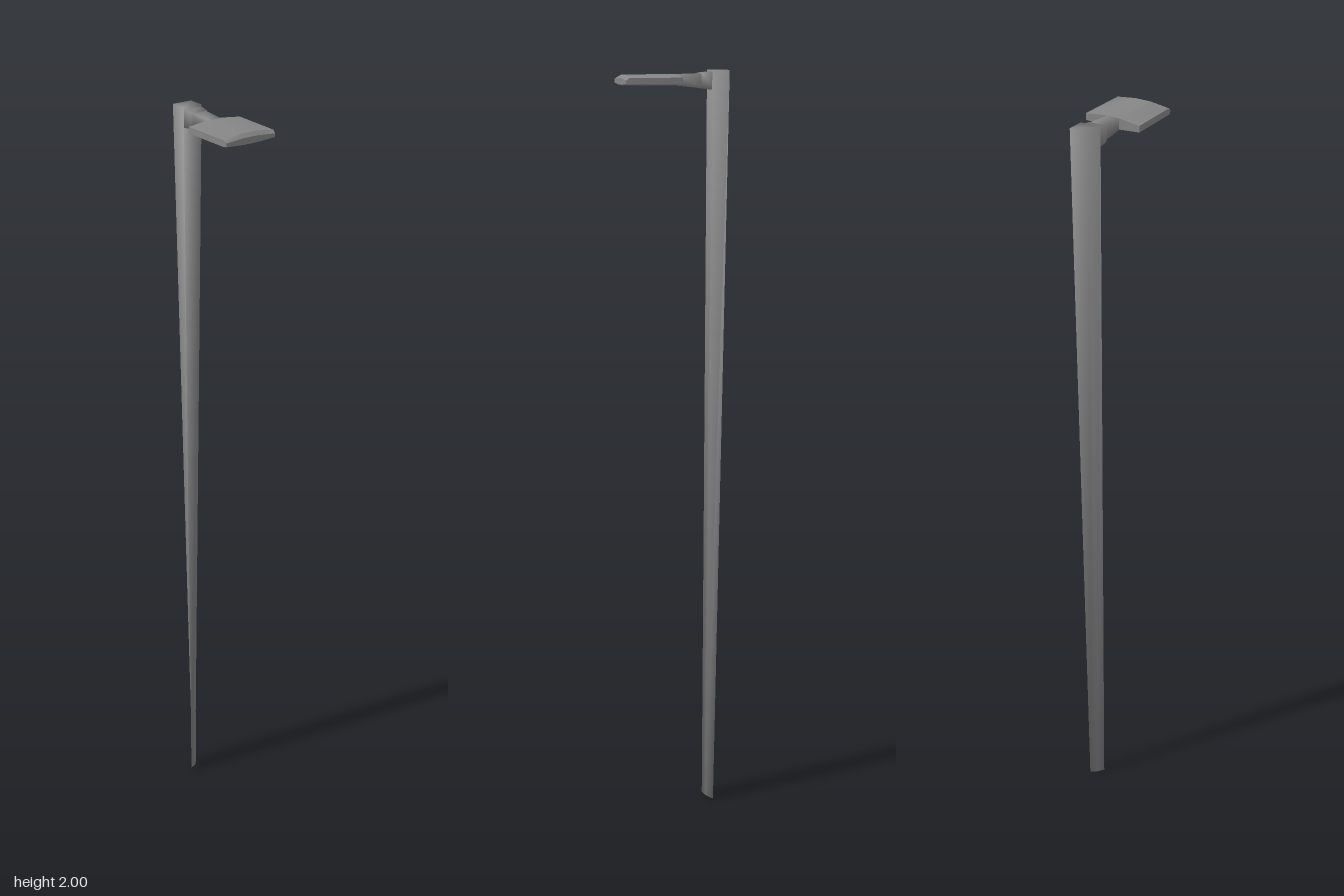
import * as THREE from 'three';
import { toCreasedNormals } from 'three/addons/utils/BufferGeometryUtils.js';

const material = new THREE.MeshStandardMaterial({ color: 0x868686 });

// Skin a list of equal-length rings (counter-clockwise along the direction of travel), capped at both ends.
// Edges sharper than the crease angle (in degrees) stay hard.
function loft(name, rings, crease) {
  const n = rings[0].length, index = [];
  for (let r = 0; r < rings.length - 1; r++) {
    for (let i = 0; i < n; i++) {
      const a = r * n + i, b = r * n + (i + 1) % n;
      index.push(a, b, b + n, a, b + n, a + n);
    }
  }
  const end = (rings.length - 1) * n;
  for (let i = 1; i < n - 1; i++) {
    index.push(0, i + 1, i, end, end + i, end + i + 1);
  }
  const geometry = new THREE.BufferGeometry();
  geometry.setAttribute('position', new THREE.Float32BufferAttribute(rings.flat(2), 3));
  geometry.setIndex(index);
  const mesh = new THREE.Mesh(toCreasedNormals(geometry, THREE.MathUtils.degToRad(crease)), material);
  mesh.name = name;
  return mesh;
}

// Rectangular section across the arm at depth z
const section = (z, x0, x1, y0, y1) => [[x0, y0, z], [x1, y0, z], [x1, y1, z], [x0, y1, z]];

// Eight-sided section across the lamp head: thin at the sides, thicker in the middle
const headSection = (z, halfWidth, bottom, top, edgeBottom, edgeTop) => [
  [-halfWidth, edgeBottom, z], [-0.02, bottom, z], [0.02, bottom, z], [halfWidth, edgeBottom, z],
  [halfWidth, edgeTop, z], [0.02, top, z], [-0.02, top, z], [-halfWidth, edgeTop, z],
];

export function createModel() {
  const group = new THREE.Group();
  group.name = 'streetLamp';

  // Square pole with soft edges, tapering down to a thin diagonal foot
  group.add(loft('pole', [
    [[-0.026, 0.007, -0.09], [-0.008, 0.005, -0.096], [0.008, 0, -0.114], [-0.012, 0.004, -0.105]],
    [[-0.026, 2, -0.091], [0.025, 2, -0.091], [0.025, 2, -0.134], [-0.026, 2, -0.134]],
  ], 120));

  // Collar on the pole and the slimmer arm leading to the lamp head
  group.add(loft('armCollar', [
    section(-0.1, -0.025, 0.023, 1.953, 1.997),
    section(-0.065, -0.024, 0.022, 1.957, 1.993),
  ], 120));
  group.add(loft('arm', [
    section(-0.07, -0.019, 0.02, 1.957, 1.992),
    section(-0.004, -0.018, 0.015, 1.964, 1.99),
    section(0.012, -0.018, 0.015, 1.966, 1.989),
  ], 120));

  // Lamp head: flat slab with thin sides and a bevelled front edge
  group.add(loft('lampHead', [
    headSection(-0.005, 0.071, 1.965, 1.99, 1.969, 1.984),
    headSection(0.123, 0.069, 1.965, 1.99, 1.969, 1.984),
    headSection(0.132, 0.067, 1.967, 1.982, 1.97, 1.978),
  ], 35));

  return group;
}
